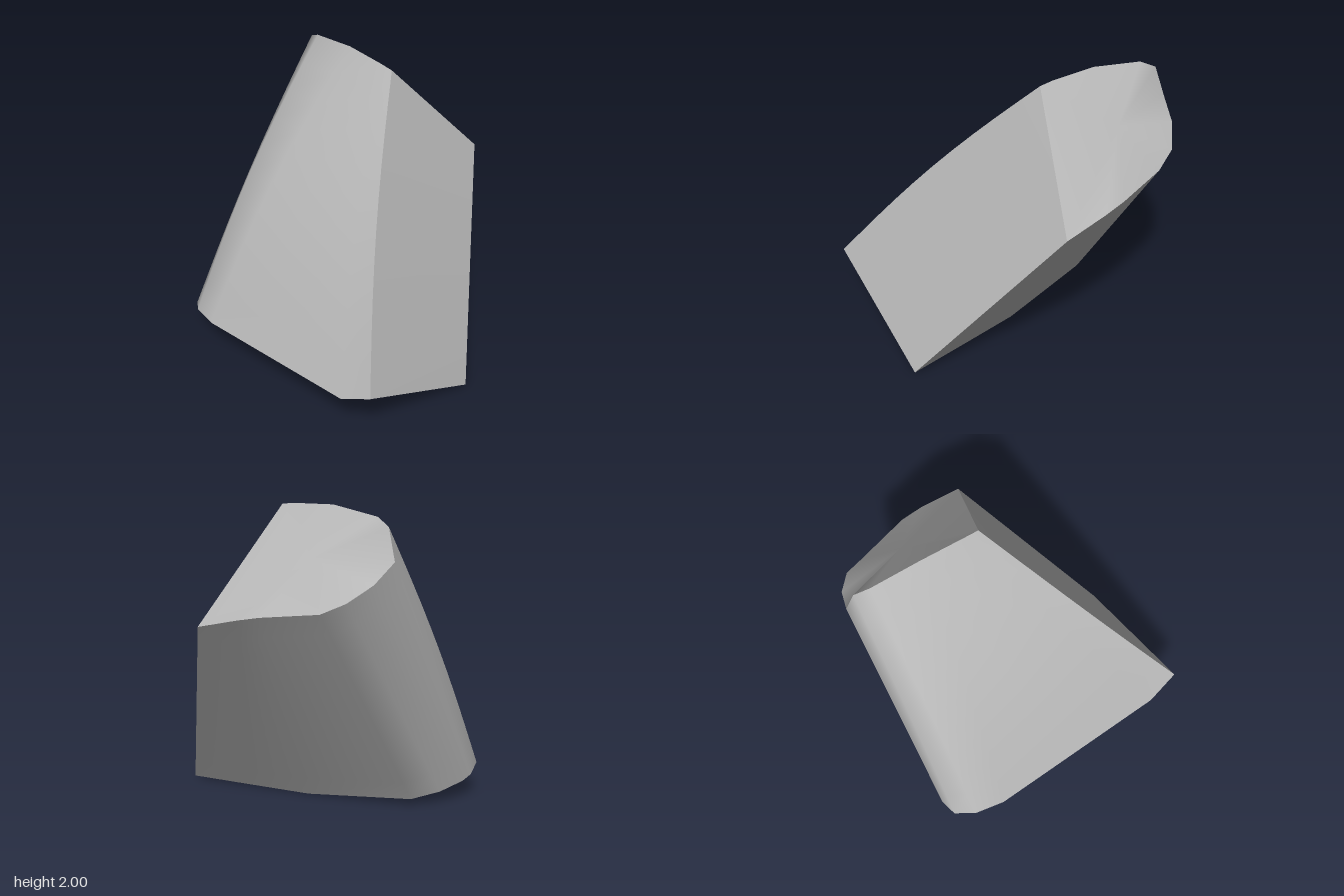
import * as THREE from 'three';

// Matching outlines of the two ends, running front left -> back -> front right
const LOWER = [
  [-0.73, 0.47, 0.92], [-0.785, 0.36, 0.71], [-0.89, 0.27, -0.52], [-0.86, 0.25, -0.72],
  [-0.78, 0.2, -0.845], [-0.66, 0.15, -0.875], [-0.58, 0.12, -0.86], [-0.4, 0.08, -0.8],
  [-0.24, 0.045, -0.68], [-0.02, 0, 0], [0.08, 0.005, 0.42], [0.18, 0.01, 0.85],
];
const UPPER = [
  [0.28, 1.98, -0.03], [0.275, 1.99, -0.12], [0.27, 2, -0.42], [0.28, 1.95, -0.76],
  [0.31, 1.9, -0.86], [0.33, 1.7, -0.92], [0.49, 1.58, -0.885], [0.63, 1.48, -0.79],
  [0.7, 1.41, -0.65], [0.83, 1.37, -0.3], [0.86, 1.34, -0.15], [0.89, 1.27, 0.14],
];
// How far each lengthwise line bows out towards the upper left
const BOW = [0.05, 0.06, 0.08, 0.07, 0.04, 0.01, 0, 0, 0, 0, 0, 0];
const STEPS = 10;

function ring(t) {
  const bow = Math.sin(Math.PI * t);
  return LOWER.map((p, j) => {
    const v = new THREE.Vector3(...p).lerp(new THREE.Vector3(...UPPER[j]), t);
    v.x -= 0.83 * BOW[j] * bow;
    v.y += 0.56 * BOW[j] * bow;
    return v;
  });
}

function surface(points, index) {
  const g = new THREE.BufferGeometry().setFromPoints(points);
  g.setIndex(index);
  g.computeVertexNormals();
  return g;
}

// Skin over rows of points, rows running upwards
function skin(rows) {
  const n = rows[0].length;
  const index = [];
  for (let i = 0; i < rows.length - 1; i++) {
    for (let j = 0; j < n - 1; j++) {
      const a = i * n + j;
      index.push(a, a + n, a + 1, a + 1, a + n, a + n + 1);
    }
  }
  return surface(rows.flat(), index);
}

export function createModel() {
  const group = new THREE.Group();
  group.name = 'cutBlock';
  const stone = new THREE.MeshStandardMaterial({ color: 0xb8b8b8 });
  stone.name = 'light grey';

  const add = (name, geometry) => {
    const mesh = new THREE.Mesh(geometry, stone);
    mesh.name = name;
    group.add(mesh);
  };

  const rows = Array.from({ length: STEPS + 1 }, (_, i) => ring(i / STEPS));
  const last = LOWER.length - 1;

  // Rounded sides and back
  add('roundedSide', skin(rows));

  // Flat sloping front
  add('frontFace', skin(rows.map((r) => [r[last], r[0]])));

  // Upper end, drooping slightly towards the back
  const top = [...rows[STEPS], new THREE.Vector3(0.52, 1.7, -0.45)];
  const topIndex = [];
  for (let j = 0; j <= last; j++) topIndex.push(last + 1, (j + 1) % (last + 1), j);
  add('upperEnd', surface(top, topIndex));

  // Lower end: a narrow front bevel and the base, kept faceted
  const bottomIndex = [];
  for (let j = 0; j < last - 1; j++) bottomIndex.push(last, j, j + 1);
  const bottom = surface(rows[0], bottomIndex).toNonIndexed();
  bottom.computeVertexNormals();
  add('lowerEnd', bottom);

  return group;
}
